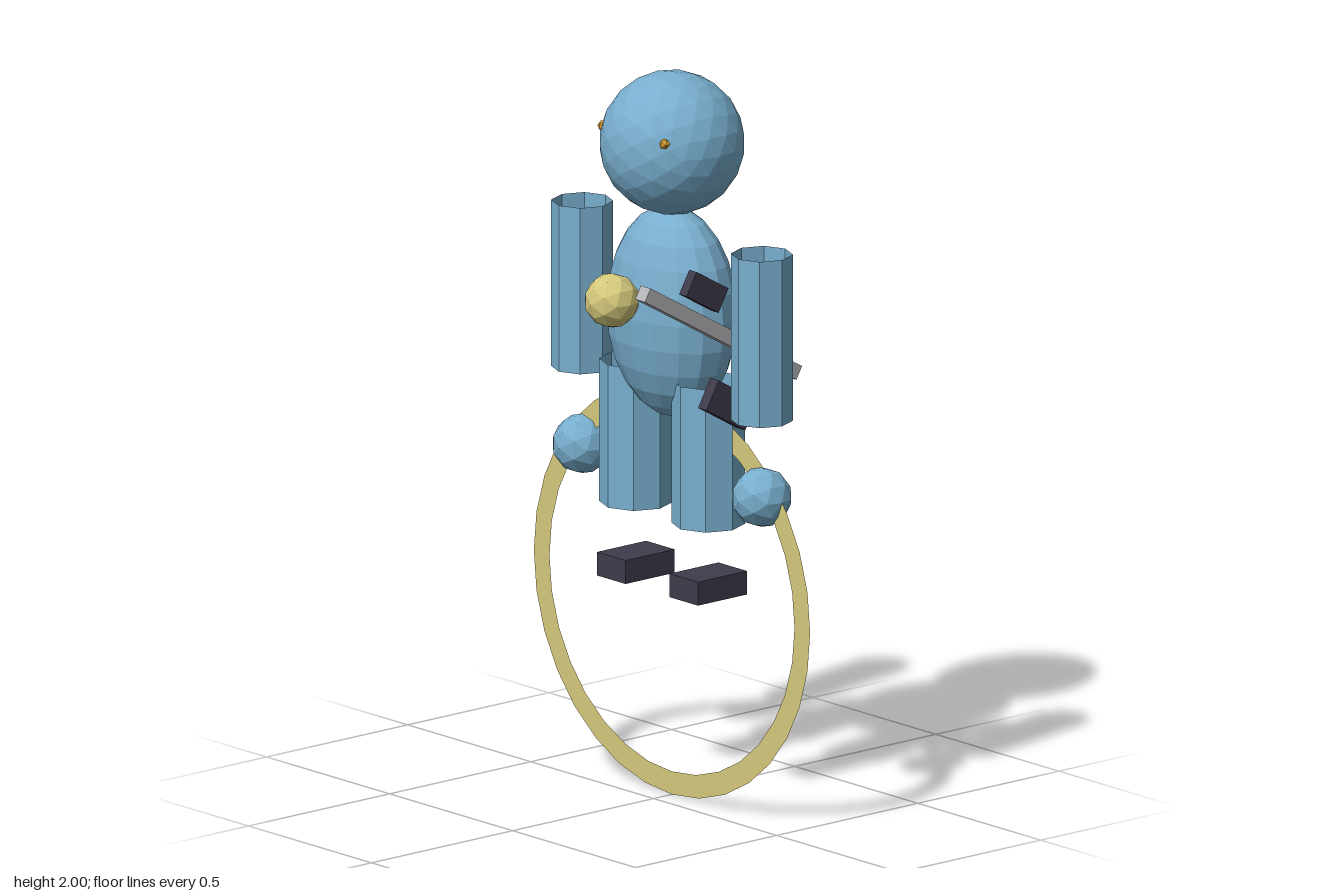
import * as THREE from 'three';

const mat = (name, color, side = THREE.FrontSide) =>
  Object.assign(new THREE.MeshStandardMaterial({ color, flatShading: true, side }), { name });

export function createModel() {
  const model = new THREE.Group();
  model.name = 'figure';
  const blue = mat('blue', 0x78aece, THREE.DoubleSide);
  const yellow = mat('paleYellow', 0xd4c87c, THREE.DoubleSide);
  const dark = mat('darkSlate', 0x3f3b4c);
  const grey = mat('lightGrey', 0xb6b6ba);
  const orange = mat('orange', 0xdca032);
  const Z = -0.065; // depth of the body axis

  const add = (name, geometry, material, x, y, z, parent = model) => {
    const mesh = new THREE.Mesh(geometry, material);
    mesh.name = name;
    mesh.position.set(x, y, z);
    parent.add(mesh);
    return mesh;
  };
  const ball = (r, detail) => new THREE.IcosahedronGeometry(r, detail);
  const tube = (r, h) => new THREE.CylinderGeometry(r, r, h, 8, 1, true);

  // Head and egg-shaped torso
  add('head', ball(0.195, 3), blue, 0, 1.805, Z);
  add('torso', new THREE.SphereGeometry(1, 16, 12).scale(0.208, 0.29, 0.147), blue, 0, 1.34, Z);

  // Chest orb and the large flat hoop
  add('chestOrb', ball(0.075, 1), yellow, 0, 1.405, 0.148);
  add('hoop', new THREE.RingGeometry(0.498, 0.5615, 32), yellow, 0, 0.5615, Z);

  // Paired parts: open tubes for limbs, round hands, block feet
  for (const [side, s] of [['left', 1], ['right', -1]]) {
    add(side + 'Eye', ball(0.016, 0), orange, s * 0.125, 1.849, 0.07);
    add(side + 'Arm', tube(0.083, 0.46), blue, s * 0.365, 1.34, Z);
    add(side + 'Hand', ball(0.082, 1), blue, s * 0.365, 0.897, Z);
    add(side + 'Leg', tube(0.098, 0.395), blue, s * 0.147, 0.978, Z);
    add(side + 'Foot', new THREE.BoxGeometry(0.116, 0.065, 0.174), dark, s * 0.147, 0.612, Z);
  }

  // Tilted device beside the left arm: grey bar with two dark blocks
  const device = new THREE.Group();
  device.name = 'device';
  device.position.set(0.264, 1.343, 0);
  device.rotation.x = -Math.PI / 6;
  model.add(device);
  add('bar', new THREE.BoxGeometry(0.04, 0.04, 0.62), grey, 0, 0, 0, device);
  add('upperBlock', new THREE.BoxGeometry(0.03, 0.071, 0.131), dark, 0, 0.081, 0.107, device);
  add('lowerBlock', new THREE.BoxGeometry(0.034, 0.087, 0.159), dark, 0, -0.16, -0.13, device);

  return model;
}
